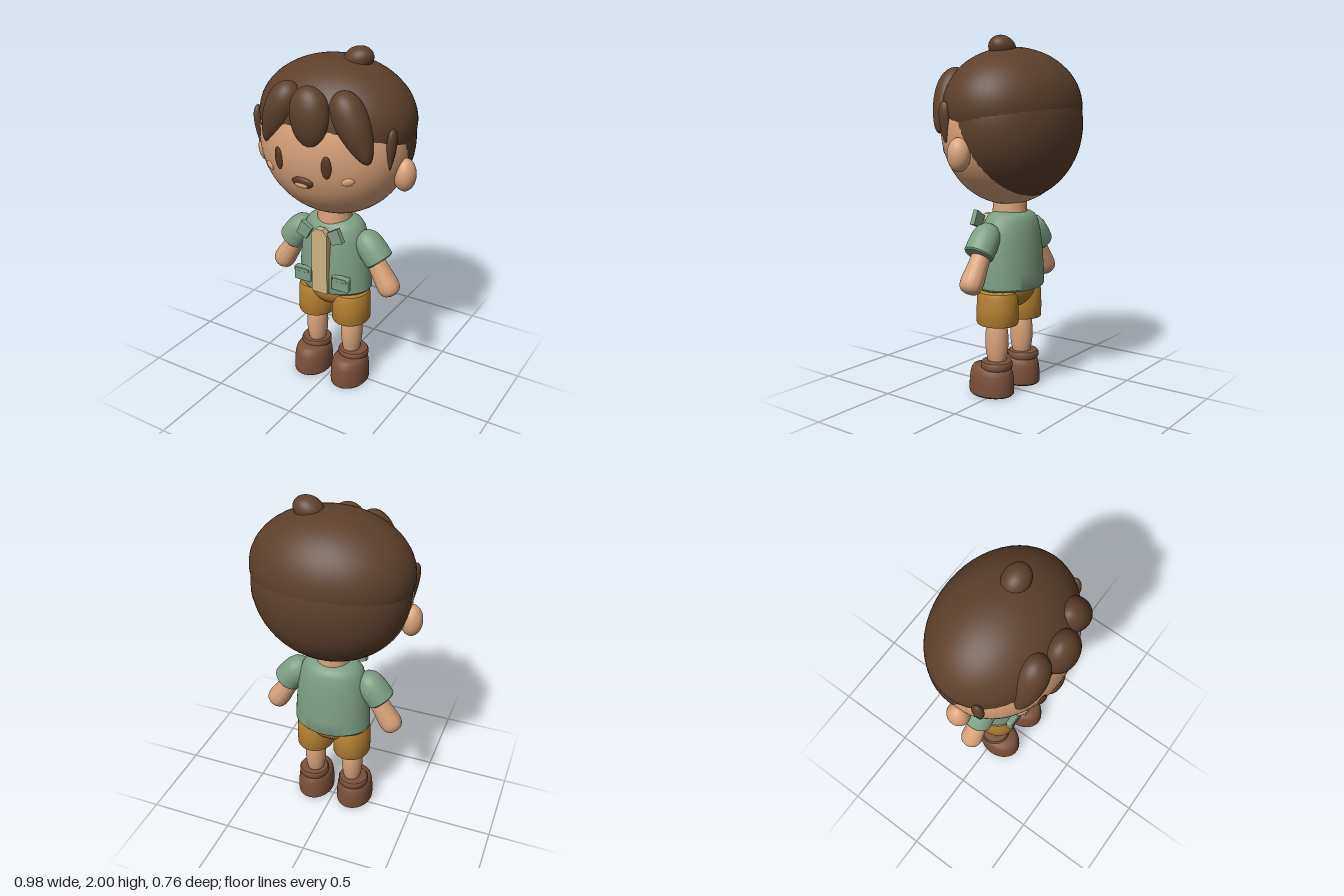
import * as THREE from 'three';
import { toCreasedNormals } from 'three/addons/utils/BufferGeometryUtils.js';
import { RoundedBoxGeometry } from 'three/addons/geometries/RoundedBoxGeometry.js';

const paint = (name, color) => {
  const m = new THREE.MeshStandardMaterial({ color });
  m.name = name;
  return m;
};

export function createModel() {
  const model = new THREE.Group();
  model.name = 'boy';
  const skin = paint('skin', 0xd8a27a);
  const blush = paint('light skin', 0xe3ad84);
  const brown = paint('hair brown', 0x5e402b);
  const dark = paint('eye brown', 0x5a3824);
  const green = paint('shirt green', 0x7d9f84);
  const tan = paint('undershirt tan', 0xcdb382);
  const ochre = paint('shorts ochre', 0xb47f30);
  const leather = paint('shoe leather', 0x7b503a);

  const add = (name, geometry, material, x = 0, y = 0, z = 0) => {
    const mesh = new THREE.Mesh(geometry, material);
    mesh.name = name;
    mesh.position.set(x, y, z);
    model.add(mesh);
    return mesh;
  };
  const ellipsoid = (rx, ry, rz) => new THREE.SphereGeometry(1, 48, 32).scale(rx, ry, rz);
  // Turned shape from [radius, y] pairs, listed bottom to top
  const turned = (points, sx = 1, sz = 1) => toCreasedNormals(
    new THREE.LatheGeometry(points.map(([r, y]) => new THREE.Vector2(r, y)), 48).scale(sx, 1, sz), 0.6);
  const plate = (points, depth) => new THREE.ExtrudeGeometry(
    new THREE.Shape(points.map(([x, y]) => new THREE.Vector2(x, y))),
    { depth, bevelEnabled: false });

  // Head, and a helper that lays a feature on its front surface
  const H = new THREE.Vector3(0.433, 0.42, 0.345), headY = 1.5;
  add('head', ellipsoid(H.x, H.y, H.z), skin, 0, headY, 0);
  const onHead = (name, geometry, material, x, y, lift = 0) => {
    const dy = y - headY;
    const z = H.z * Math.sqrt(1 - (x / H.x) ** 2 - (dy / H.y) ** 2);
    const normal = new THREE.Vector3(x / H.x ** 2, dy / H.y ** 2, z / H.z ** 2).normalize();
    const mesh = add(name, geometry, material, x, y, z);
    mesh.lookAt(mesh.position.clone().add(normal));
    mesh.position.addScaledVector(normal, lift);
    return mesh;
  };

  // Face
  for (const s of [-1, 1]) {
    onHead('eye', ellipsoid(0.027, 0.063, 0.012), dark, s * 0.145, 1.455);
    onHead('cheek', ellipsoid(0.034, 0.023, 0.01), blush, s * 0.24, 1.378).rotateZ(s * 0.25);
    add('ear', ellipsoid(0.06, 0.09, 0.063), skin, s * 0.432, 1.375, 0.013);
  }
  onHead('mouth', ellipsoid(0.064, 0.033, 0.02), dark, 0, 1.347);
  onHead('mouthInside', ellipsoid(0.04, 0.016, 0.008), blush, 0, 1.34, 0.016);

  // Hair: back shell and top cap emerge through the head surface
  add('backHair', ellipsoid(0.437, 0.42, 0.341), brown, 0, 1.524, -0.041);
  add('topHair', ellipsoid(0.447, 0.325, 0.35), brown, 0, 1.62, -0.025);
  add('hairTuft', ellipsoid(0.085, 0.065, 0.07), brown, 0.12, 1.932, -0.035).rotation.z = 0.35;

  // Locks that narrow towards a lower tip
  const lock = (rx, ry, rz, taper) => {
    const g = new THREE.SphereGeometry(1, 40, 28);
    const p = g.attributes.position;
    for (let i = 0; i < p.count; i++) {
      const k = 1 + taper * p.getY(i);
      p.setXYZ(i, p.getX(i) * k * rx, p.getY(i) * ry, p.getZ(i) * k * rz);
    }
    g.computeVertexNormals();
    return g;
  };
  add('fringeMiddle', lock(0.11, 0.163, 0.085, 0.1), brown, 0.035, 1.69, 0.297).rotation.z = 0.1;
  add('fringeRight', lock(0.088, 0.19, 0.085, 0.3), brown, -0.18, 1.672, 0.255).rotation.z = -0.46;
  add('fringeLeft', lock(0.088, 0.195, 0.085, 0.3), brown, 0.25, 1.655, 0.23).rotation.z = 0.46;
  for (const s of [-1, 1]) {
    const burn = add('sideburn', lock(0.022, 0.11, 0.032, 0.5), brown, s * 0.408, 1.54, 0.127);
    burn.rotation.z = -s * 0.05;
  }

  // Neck and shirt body
  add('neck', new THREE.CylinderGeometry(0.092, 0.102, 0.16, 40), skin, 0, 1.06, 0.002);
  add('shirt', turned([[0, 0.61], [0.215, 0.61], [0.225, 0.622], [0.222, 0.7], [0.212, 0.83],
    [0.196, 0.93], [0.18, 0.99], [0.16, 1.02], [0.13, 1.037], [0.09, 1.045], [0, 1.045]], 1, 0.735),
    green, 0, 0, -0.01);
  add('undershirtPanel', plate([[-0.05, 0.62], [0.05, 0.62], [0.05, 0.985], [0.022, 1.015],
    [-0.022, 1.015], [-0.05, 0.985]], 0.04), tan, 0, 0, 0.132);

  for (const s of [-1, 1]) {
    // Collar and pockets
    const flap = [[0.15, 0.965], [0.115, 1.045], [0.05, 1.005], [0.085, 0.94]];
    add('collar', plate(flap.map(([x, y]) => [x * s, y]), 0.03), green, 0, 0, 0.142);
    add('pocket', new RoundedBoxGeometry(0.108, 0.085, 0.04, 3, 0.008), green, s * 0.125, 0.698, 0.14);
    add('pocketFlap', new RoundedBoxGeometry(0.09, 0.022, 0.01, 2, 0.004), green, s * 0.125, 0.726, 0.16);

    // Arms
    const sleeve = add('sleeve', turned([[0, 0], [0.076, 0], [0.083, 0.008], [0.084, 0.06],
      [0.08, 0.115], [0.068, 0.155], [0.045, 0.182], [0.02, 0.193], [0, 0.195]]),
      green, s * 0.293, 0.825, 0);
    sleeve.rotation.z = s * 0.66;
    const forearm = add('forearm', turned([[0, 0], [0.025, 0.002], [0.045, 0.01], [0.058, 0.025],
      [0.064, 0.05], [0.064, 0.08], [0.058, 0.14], [0.052, 0.24], [0, 0.25]]),
      skin, s * 0.381, 0.632, 0);
    forearm.rotation.z = s * 0.56;

    // Shorts and legs
    add('shortsLeg', turned([[0, 0.41], [0.106, 0.41], [0.11, 0.418], [0.11, 0.5], [0.107, 0.575],
      [0.1, 0.594], [0.085, 0.602], [0, 0.605]], 1, 1.11), ochre, s * 0.115, 0, 0.005);
    add('leg', ellipsoid(0.062, 0.185, 0.068), skin, s * 0.12, 0.31, 0.006);

    // Shoes
    add('shoe', turned([[0, 0], [0.93, 0], [0.99, 0.008], [1, 0.025], [0.985, 0.08], [0.95, 0.12],
      [0.89, 0.147], [0.8, 0.162], [0.65, 0.169], [0, 0.172]], 0.109, 0.138), leather, s * 0.129, 0, 0.037);
    add('shoeCuff', turned([[0, 0.155], [0.085, 0.155], [0.09, 0.163], [0.09, 0.187], [0.084, 0.197],
      [0.06, 0.2], [0, 0.2]]), leather, s * 0.13, 0, 0);
  }
  add('shortsSeat', ellipsoid(0.17, 0.12, 0.13), ochre, 0, 0.605, 0.002);

  return model;
}
